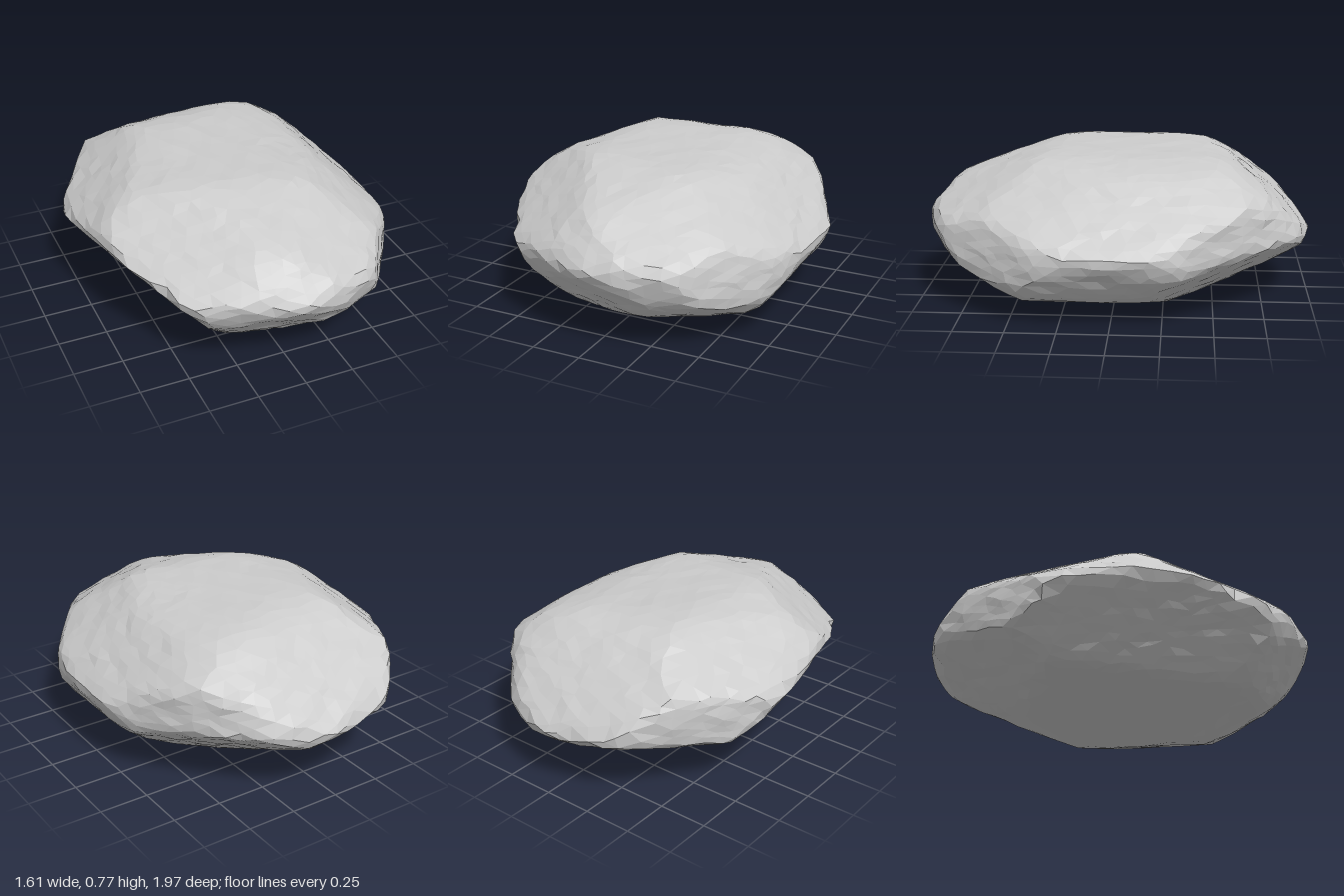
import * as THREE from 'three';

const CENTRE_Y = 0.385;
const V = (x, y, z) => new THREE.Vector3(x, y, z);

// Cuts the stone along an outline drawn square to a direction (turn and tilt in degrees):
// each outline edge becomes a plane with normal n at distance h from the centre
function cutsAlong(turn, tilt, points) {
  const a = THREE.MathUtils.degToRad(turn), e = THREE.MathUtils.degToRad(tilt);
  const across = V(Math.cos(a), 0, -Math.sin(a));
  const up = V(-Math.sin(a) * Math.sin(e), Math.cos(e), -Math.cos(a) * Math.sin(e));
  return points.map(([x0, y0], i) => {
    const [x1, y1] = points[(i + 1) % points.length];
    const edge = new THREE.Vector2(y1 - y0, x0 - x1).normalize();
    if (edge.x * x0 + edge.y * y0 < 0) edge.negate();
    const h = Math.max(...points.map(([x, y]) => edge.x * x + edge.y * y));
    return { n: across.clone().multiplyScalar(edge.x).addScaledVector(up, edge.y), h };
  });
}

// Plan, front and side outlines
const plan = cutsAlong(0, -90, [[0, -1], [.4, -.9], [.65, -.5], [.82, -.15], [.77, .35], [.43, .85],
  [0, 1], [-.61, .7], [-.79, 0], [-.82, -.2], [-.44, -.87], [-.22, -.97]]);
const front = cutsAlong(0, 0, [[-.82, .07], [-.6, .31], [-.27, .385], [.25, .355], [.45, .305],
  [.815, -.01], [.65, -.255], [.25, -.385], [-.57, -.23], [-.75, -.055]]);
const side = cutsAlong(-90, 0, [[1, .015], [.8, .235], [.3, .375], [-.35, .385], [-.65, .31],
  [-1, -.05], [-.87, -.18], [-.3, -.375], [.2, -.385], [.8, -.23]]);

// Slanting outlines that bevel the corners
const bevels = [
  ...cutsAlong(45, 30, [[-.94, -.02], [-.65, .38], [.12, .6], [.8, .33], [.9, .08], [.81, -.22],
    [.17, -.6], [-.41, -.54], [-.79, -.25]]),
  ...cutsAlong(-135, 30, [[-.89, -.34], [-.83, .18], [-.49, .39], [.08, .53], [.59, .48], [.94, .14],
    [.2, -.49], [-.35, -.49], [-.83, -.4]]),
  ...cutsAlong(135, -30, [[-.92, -.15], [-.79, .17], [-.2, .53], [.14, .6], [.65, .47], [.93, .24],
    [.85, -.15], [.06, -.56], [-.63, -.51]]),
  { n: V(-.42, .8, .42), h: .55 },
  { n: V(.42, -.8, -.42), h: .54 },
];
const planes = [...plan, ...front, ...side, ...bevels];

// Distance from the centre to the cut surface, with edges slightly rounded
function reach(d) {
  const sharpness = 55;
  let sum = 0;
  for (const { n, h } of planes) sum += Math.max(0, n.dot(d) / h) ** sharpness;
  return 1.016 * sum ** (-1 / sharpness);
}

// Small uneven wobble that depends only on position
const wobble = (d, s) =>
  Math.sin(d.x * 17 + s) * Math.sin(d.y * 19 + s * 2.3) * Math.sin(d.z * 15 + s * 1.7)
  + .6 * Math.sin(d.x * 41 + d.y * 37 + s * 3) * Math.sin(d.z * 43 - d.y * 29 + s);

export function createModel() {
  const group = new THREE.Group();
  group.name = 'rock';

  const geometry = new THREE.IcosahedronGeometry(1, 11);
  const pos = geometry.attributes.position;
  const d = V(0, 0, 0);
  for (let i = 0; i < pos.count; i++) {
    d.fromBufferAttribute(pos, i);
    // Uneven facets, spread evenly over the long flat form
    const shift = V(wobble(d, 1), wobble(d, 2), wobble(d, 3)).multiplyScalar(.03);
    const roughness = 1 + .008 * wobble(d, 4);
    d.add(shift).multiply(V(.85, .5, 1)).normalize();
    d.multiplyScalar(reach(d) * roughness);
    pos.setXYZ(i, d.x, Math.max(0, d.y + CENTRE_Y), d.z);
  }
  geometry.computeVertexNormals();

  const boulder = new THREE.Mesh(
    geometry,
    new THREE.MeshStandardMaterial({ color: 0xcccccc, flatShading: true }),
  );
  boulder.name = 'boulder';
  group.add(boulder);
  return group;
}
